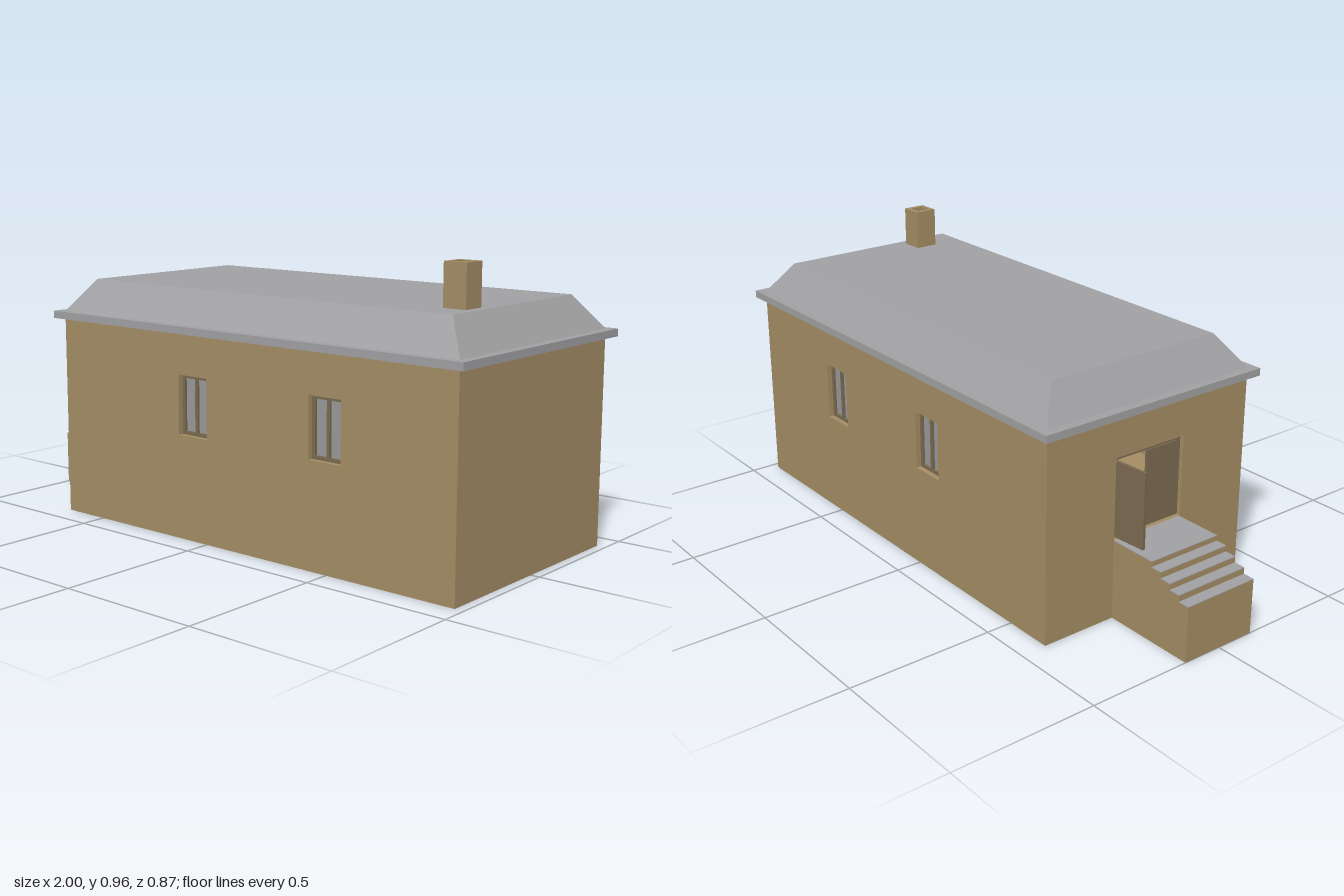
import * as THREE from 'three';

const mat = (name, color) => new THREE.MeshStandardMaterial({ name, color });

export function createModel() {
  const house = new THREE.Group();
  house.name = 'house';
  const wallMat = mat('tan wall', 0xa38c64);
  const roofMat = mat('grey roof', 0xa0a0a2);
  const woodMat = mat('brown wood', 0x7a6a50);
  const paneMat = mat('grey pane', 0x98989a);

  function add(parent, name, geometry, material) {
    const mesh = new THREE.Mesh(geometry, material);
    mesh.name = name;
    parent.add(mesh);
    return mesh;
  }
  // Box given by its min and max corners
  function box(parent, name, material, x0, x1, y0, y1, z0, z1) {
    const mesh = add(parent, name, new THREE.BoxGeometry(x1 - x0, y1 - y0, z1 - z0), material);
    mesh.position.set((x0 + x1) / 2, (y0 + y1) / 2, (z0 + z1) / 2);
    return mesh;
  }
  // Flat plate with rectangular holes; rectangles are [u0, u1, v0, v1]
  function plate(rect, holes, depth) {
    const corners = ([a, b, c, d]) => [[a, c], [b, c], [b, d], [a, d]].map(p => new THREE.Vector2(...p));
    const shape = new THREE.Shape(corners(rect));
    for (const h of holes) shape.holes.push(new THREE.Path(corners(h).reverse()));
    return new THREE.ExtrudeGeometry(shape, { depth, bevelEnabled: false });
  }

  const X0 = -0.67, X1 = 0.97, Z = 0.41, T = 0.04, EAVE = 0.69, FLOOR = 0.273;
  const windows = [[-0.12, 0.005, 0.35, 0.55], [0.43, 0.555, 0.35, 0.55]];
  const door = [-0.14, 0.14, FLOOR, 0.55];

  // Long walls, each with two recessed double windows
  for (const [side, turn] of [['front', 1], ['back', -1]]) {
    const wall = new THREE.Group();
    wall.name = side + 'Side';
    wall.rotation.y = turn > 0 ? 0 : Math.PI;
    house.add(wall);
    const flip = ([a, b, c, d]) => (turn > 0 ? [a, b, c, d] : [-b, -a, c, d]);
    const openings = windows.map(flip);
    add(wall, side + 'Wall', plate(flip([X0, X1, 0, EAVE]), openings, T), wallMat).position.z = Z - T;
    for (const [a, b, c, d] of openings) {
      const m = (a + b) / 2, f = 0.012;
      const lights = [[a + f, m - f / 2, c + f, d - f], [m + f / 2, b - f, c + f, d - f]];
      add(wall, 'windowFrame', plate([a, b, c, d], lights, 0.012), woodMat).position.z = Z - 0.03;
      box(wall, 'windowPane', paneMat, a + 0.002, b - 0.002, c + 0.002, d - 0.002, Z - 0.034, Z - 0.026);
    }
  }

  // End walls and floor
  box(house, 'plainEndWall', wallMat, X1 - T, X1, 0, EAVE, -Z + T, Z - T);
  const end = add(house, 'doorWall', plate([-Z + T, Z - T, 0, EAVE], [door], T), wallMat);
  end.rotation.y = -Math.PI / 2;
  end.position.x = X0 + T;
  box(house, 'floor', wallMat, X0 + T, X1 - T, 0, FLOOR, -Z + T, Z - T);

  // Door frame with one closed and one open leaf
  const frame = add(house, 'doorFrame',
    plate(door, [[-0.125, 0.125, FLOOR + 0.002, 0.535]], 0.02), woodMat);
  frame.rotation.y = -Math.PI / 2;
  frame.position.x = X0 + 0.035;
  for (const [name, z, angle] of [['closedDoorLeaf', 0.125, Math.PI / 2], ['openDoorLeaf', -0.125, Math.PI + 0.08]]) {
    const hinge = new THREE.Group();
    hinge.name = name;
    hinge.position.set(X0 + 0.018, 0, z);
    hinge.rotation.y = angle;
    house.add(hinge);
    box(hinge, 'leafPanel', woodMat, 0, 0.125, FLOOR + 0.004, 0.533, -0.005, 0.005);
  }

  // Entrance steps with grey treads
  const steps = [0.19, 0.212, 0.233, 0.254, FLOOR];
  steps.forEach((top, i) => {
    const a = -1 + i * 0.04, b = i === 4 ? X0 : a + 0.04;
    box(house, 'step', wallMat, a, b, 0, top - 0.003, -0.14, 0.135);
    box(house, 'tread', roofMat, a, b, top - 0.003, top, -0.14, 0.135);
  });

  // Eave slab and hipped roof with a flat top
  box(house, 'eaveSlab', roofMat, -0.7, 1, 0.688, 0.713, -0.437, 0.437);
  const hip = new THREE.BoxGeometry(X1 - X0, 0.11, 2 * Z);
  const p = hip.attributes.position;
  for (let i = 0; i < p.count; i++) {
    if (p.getY(i) > 0) {
      p.setX(i, p.getX(i) - Math.sign(p.getX(i)) * 0.08);
      p.setZ(i, p.getZ(i) - Math.sign(p.getZ(i)) * 0.08);
    }
  }
  hip.computeVertexNormals();
  add(house, 'hippedRoof', hip, roofMat).position.set((X0 + X1) / 2, 0.768, 0);

  // Hollow chimney
  const chimney = add(house, 'chimney',
    plate([-0.04, 0.04, -0.04, 0.04], [[-0.023, 0.023, -0.023, 0.023]], 0.14), wallMat);
  chimney.rotation.x = -Math.PI / 2;
  chimney.position.set(0.82, 0.82, 0.18);

  return house;
}
